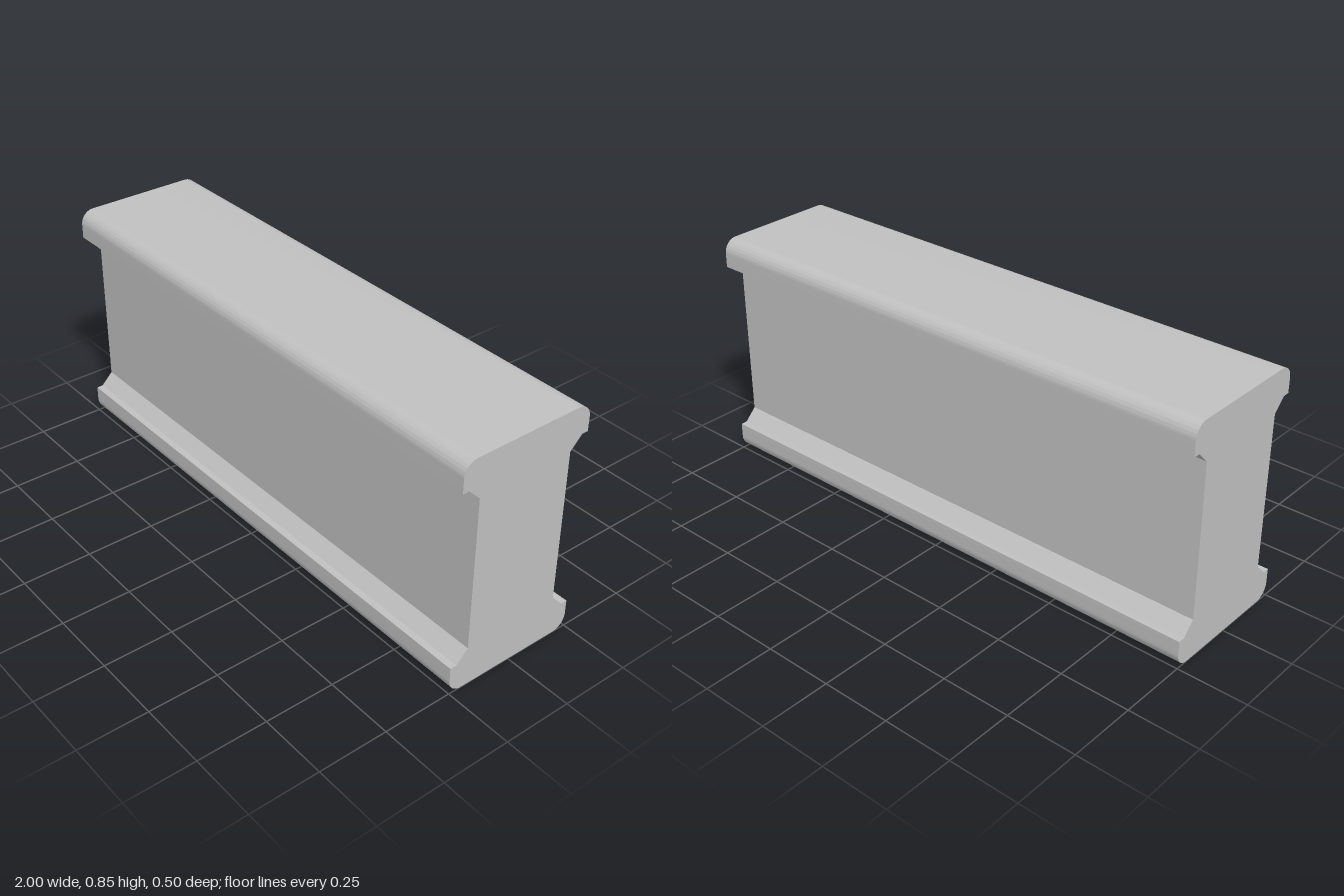
import * as THREE from 'three';
import { toCreasedNormals } from 'three/addons/utils/BufferGeometryUtils.js';

const LENGTH = 2, HEIGHT = 0.85;
const FLANGE = 0.25, FLANGE_H = 0.102, RADIUS = 0.05; // flange half width, thickness, corner
const WEB = 0.182, LIP = 0.226; // web half width, outer end of the fillet slope

// I-shaped cross-section with rounded outer corners and sloped web fillets
function beamProfile() {
  const slope = FLANGE_H + LIP - WEB;
  const s = new THREE.Shape();
  s.moveTo(-FLANGE + RADIUS, 0);
  s.lineTo(FLANGE - RADIUS, 0);
  s.absarc(FLANGE - RADIUS, RADIUS, RADIUS, -Math.PI / 2, 0);
  // right side going up, then left side going down
  const side = [[FLANGE, FLANGE_H], [LIP, FLANGE_H], [WEB, slope],
    [WEB, HEIGHT - slope], [LIP, HEIGHT - FLANGE_H], [FLANGE, HEIGHT - FLANGE_H]];
  side.forEach(([x, y]) => s.lineTo(x, y));
  s.absarc(FLANGE - RADIUS, HEIGHT - RADIUS, RADIUS, 0, Math.PI / 2);
  s.absarc(-FLANGE + RADIUS, HEIGHT - RADIUS, RADIUS, Math.PI / 2, Math.PI);
  side.reverse().forEach(([x, y]) => s.lineTo(-x, y));
  s.absarc(-FLANGE + RADIUS, RADIUS, RADIUS, Math.PI, Math.PI * 1.5);
  return s;
}

export function createModel() {
  const group = new THREE.Group();
  group.name = 'beamSection';
  const steel = new THREE.MeshStandardMaterial({ color: 0xc0c0c0 });
  steel.name = 'light grey';

  // Profile swept along the x axis
  let geo = new THREE.ExtrudeGeometry(beamProfile(), {
    depth: LENGTH, bevelEnabled: false, curveSegments: 10,
  });
  geo.translate(0, 0, -LENGTH / 2);
  geo.rotateY(Math.PI / 2);
  geo = toCreasedNormals(geo, 0.5);

  const beam = new THREE.Mesh(geo, steel);
  beam.name = 'beam';
  group.add(beam);
  return group;
}
